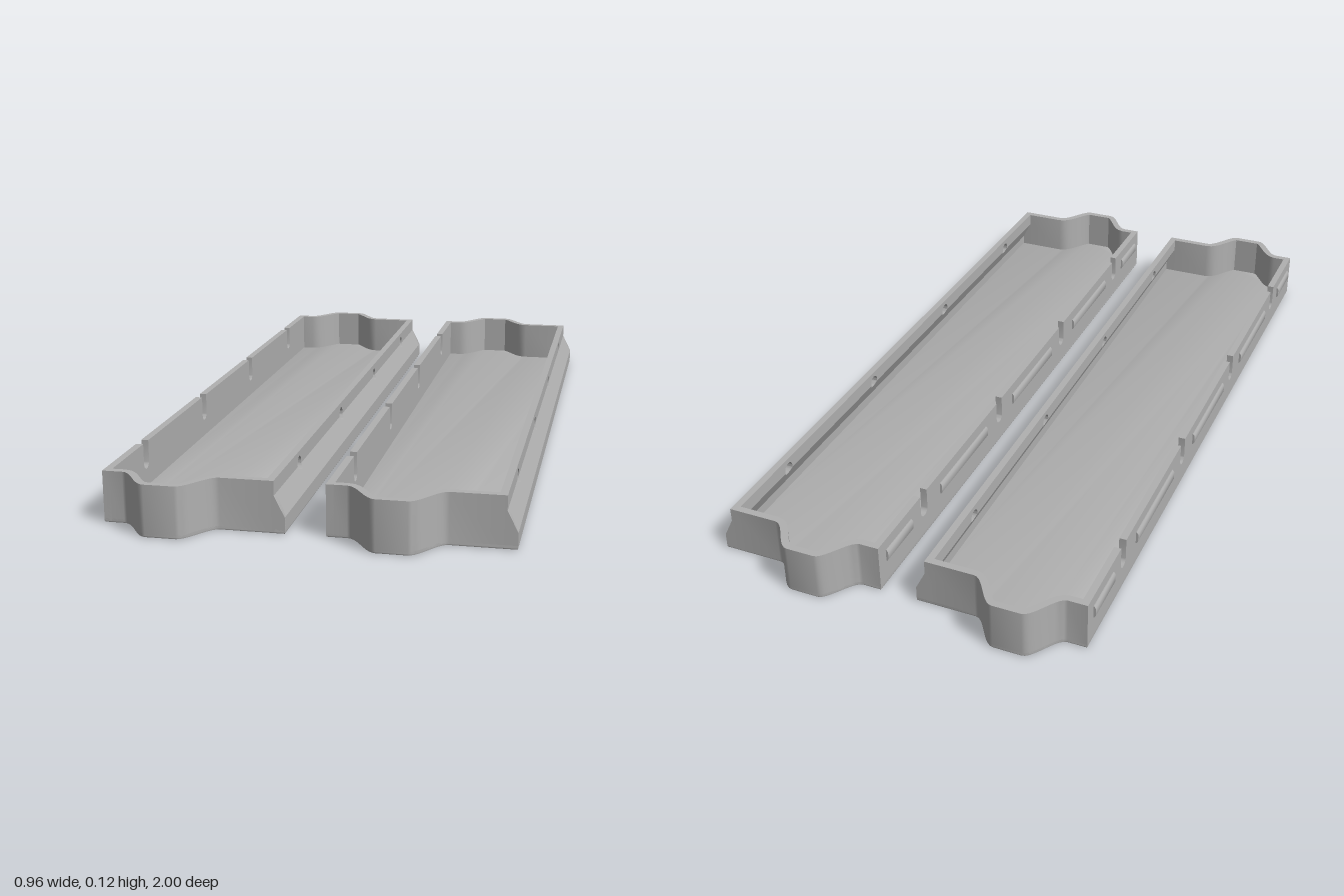
import * as THREE from 'three';
import { toCreasedNormals } from 'three/addons/utils/BufferGeometryUtils.js';

const WALL = 0.018, TOP = 0.125, BASE = 0.004; // wall thickness, rim height, wall start
const LEFT = -0.475, RIGHT = -0.07, LEDGE = -0.045; // outer x of the walls
const END = 0.92, BUMP = 0.08, BUMP_X = -0.312;
const HOLE_Z = [-0.685, -0.228, 0.228, 0.685], HOLE_Y = 0.095, HOLE_R = 0.0175;

const V = (x, y) => new THREE.Vector2(x, y);

// Outer edge of one end, left to right, with the smooth bump
function endEdge(right) {
  const pts = [V(LEFT, END)];
  const outer = 0.115, inner = 0.036, n = 10;
  for (const side of [-1, 1]) {
    for (let i = 0; i <= n; i++) {
      const t = side < 0 ? i / n : 1 - i / n;
      const half = outer + (inner - outer) * t;
      pts.push(V(BUMP_X + side * half, END + BUMP * t * t * (3 - 2 * t)));
    }
  }
  pts.push(V(right, END));
  return pts;
}

// Same edge moved inwards by the wall thickness
function insetEdge(pts) {
  return pts.map((p, i) => {
    const a = pts[Math.max(i - 1, 0)], b = pts[Math.min(i + 1, pts.length - 1)];
    const d = b.clone().sub(a).normalize();
    return V(p.x + d.y * WALL, p.y - d.x * WALL);
  });
}

function finish(geo, name, material) {
  const mesh = new THREE.Mesh(toCreasedNormals(geo, 0.6), material);
  mesh.name = name;
  return mesh;
}

// Plan outline (x, z) raised upwards
function raise(pts, y, depth, bevel = 0) {
  const shape = new THREE.Shape(pts.map(p => V(p.x, -p.y)));
  const geo = new THREE.ExtrudeGeometry(shape, {
    depth: depth - 2 * bevel, bevelEnabled: bevel > 0, bevelSize: bevel,
    bevelThickness: bevel, bevelOffset: -bevel, bevelSegments: 2
  });
  return geo.rotateX(-Math.PI / 2).translate(0, y + bevel, 0);
}

// Long side panel: lower and upper edges may be notched; outerX gives its x at each height
function sidePanel(y0, y1, outerX, topNotch, bottomNotch) {
  const pts = [V(-END, y1)];
  if (topNotch) HOLE_Z.forEach(z => pts.push(...topNotch.map(p => V(z + p.x, p.y))));
  pts.push(V(END, y1), V(END, y0));
  if (bottomNotch) [...HOLE_Z].reverse().forEach(z => pts.push(...bottomNotch.map(p => V(z + p.x, p.y))));
  pts.push(V(-END, y0));
  const geo = new THREE.ExtrudeGeometry(new THREE.Shape(pts), { depth: WALL, bevelEnabled: false });
  geo.rotateY(-Math.PI / 2);
  const pos = geo.attributes.position;
  for (let i = 0; i < pos.count; i++) pos.setX(i, pos.getX(i) + outerX(pos.getY(i)));
  geo.computeVertexNormals();
  return geo;
}

function arc(cy, from, to) {
  return Array.from({ length: 13 }, (_, i) => {
    const a = from + (to - from) * i / 12;
    return V(Math.cos(a) * HOLE_R, cy + Math.sin(a) * HOLE_R);
  });
}

function buildTray(material) {
  const tray = new THREE.Group();
  const add = (geo, name) => tray.add(finish(geo, name, material));

  // Floor with a softened edge
  const edge = endEdge(LEDGE);
  const back = edge.map(p => V(p.x, -p.y)).reverse();
  add(raise([...edge, ...back], 0, 0.014, 0.004), 'floor');

  // Bumped end walls, and caps closing the ends of the sloping side
  const rim = endEdge(RIGHT);
  const ring = [...rim, ...insetEdge(rim).reverse()];
  const cap = new THREE.Shape([
    V(RIGHT - WALL, BASE), V(LEDGE, BASE), V(LEDGE, 0.04), V(RIGHT, 0.09), V(RIGHT - WALL, 0.09)
  ]);
  for (const s of [1, -1]) {
    const name = s > 0 ? 'front' : 'back';
    add(raise(ring.map(p => V(p.x, p.y * s)), BASE, TOP - BASE), name + 'EndWall');
    const geo = new THREE.ExtrudeGeometry(cap, { depth: WALL, bevelEnabled: false });
    add(geo.translate(0, 0, s > 0 ? END - WALL : -END), name + 'EndCap');
  }

  // Slotted wall
  const slot = [V(-HOLE_R, TOP), ...arc(0.075, -Math.PI, 0), V(HOLE_R, TOP)];
  add(sidePanel(BASE, TOP, () => LEFT + WALL, slot), 'slottedWall');

  // Sloping wall in three bands; the round holes cross the upper two
  const kink = 0.09, a = Math.asin((kink - HOLE_Y) / HOLE_R);
  const slope = y => LEDGE + (RIGHT - LEDGE) * (y - 0.04) / (kink - 0.04);
  add(sidePanel(BASE, 0.04, () => LEDGE), 'lowerSideWall');
  add(sidePanel(0.04, kink, slope, arc(HOLE_Y, -Math.PI - a, a)), 'slopingSideWall');
  add(sidePanel(kink, TOP, () => RIGHT, null, arc(HOLE_Y, a, Math.PI - a)), 'upperSideWall');

  // Raised ridges between the slots
  const ridge = new THREE.Shape([
    V(LEFT + 0.002, 0.064), V(LEFT + 0.002, 0.096), V(LEFT - 0.002, 0.096),
    V(LEFT - 0.006, 0.09), V(LEFT - 0.006, 0.07), V(LEFT - 0.002, 0.064)
  ]);
  for (const [z, length] of [[-0.82, 0.13], [-0.456, 0.28], [0, 0.28], [0.456, 0.28], [0.82, 0.13]]) {
    const geo = new THREE.ExtrudeGeometry(ridge, { depth: length, bevelEnabled: false });
    add(geo.translate(0, 0, z - length / 2), 'ridge');
  }
  return tray;
}

export function createModel() {
  const model = new THREE.Group();
  model.name = 'trayPair';
  const grey = new THREE.MeshStandardMaterial({ color: 0xb0b0b0 });
  grey.name = 'grey';
  ['rightTray', 'leftTray'].forEach((name, i) => {
    const tray = buildTray(grey);
    tray.name = name;
    tray.position.x = i * 0.525;
    model.add(tray);
  });
  return model;
}
